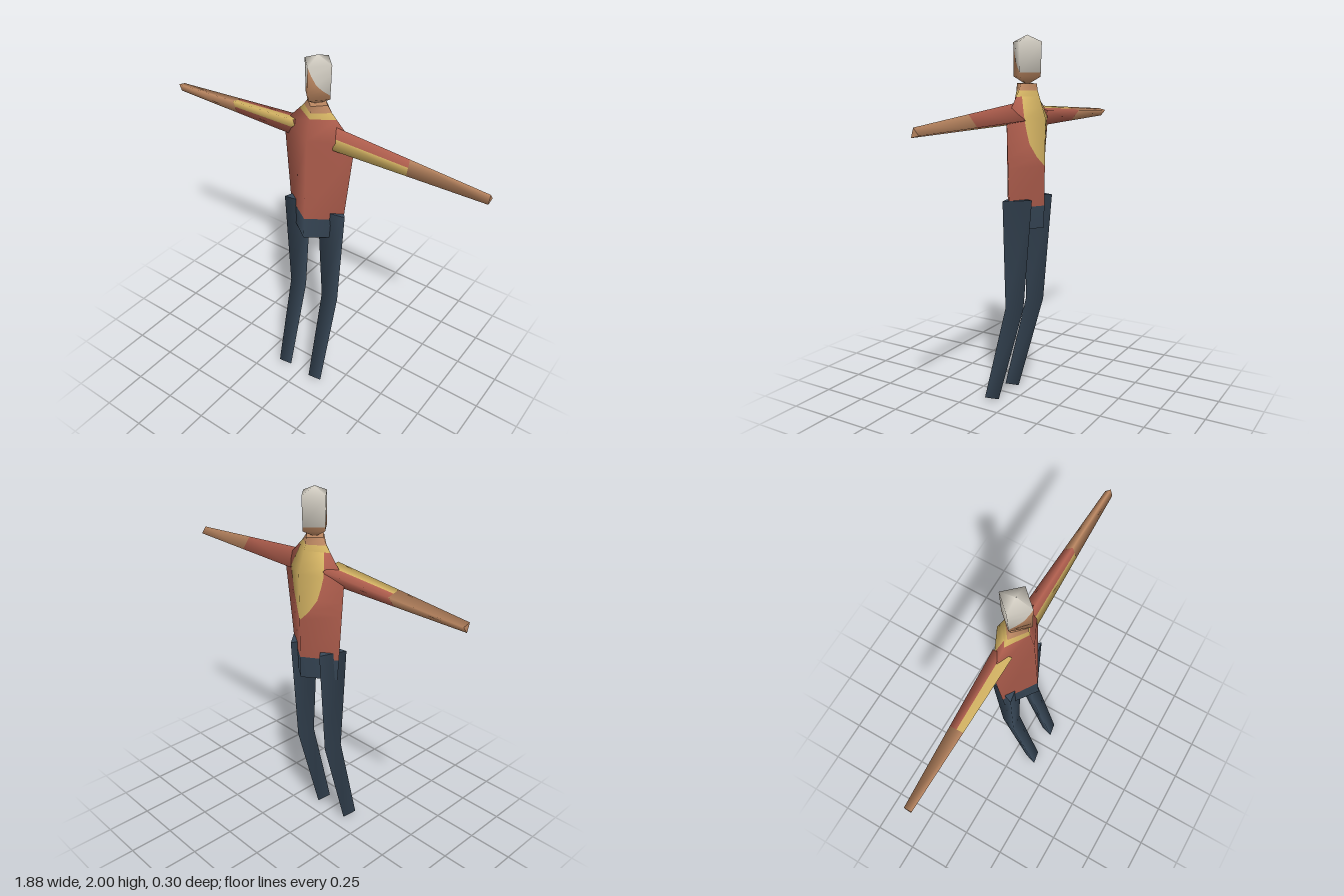
import * as THREE from 'three';
import { mergeGeometries } from 'three/addons/utils/BufferGeometryUtils.js';

const V = (x, y, z) => new THREE.Vector3(x, y, z);
const paint = (name, color) => {
  const m = new THREE.MeshStandardMaterial({ color });
  m.name = name;
  return m;
};

// A body is a list of rings { k, p }: k is the position along it, p its corners.
// Smooth corner normals are stored beside the corners.
function loft(rings) {
  rings.forEach((ring, i) => {
    const lo = rings[Math.max(i - 1, 0)].p, hi = rings[Math.min(i + 1, rings.length - 1)].p;
    const n = ring.p.length;
    ring.n = ring.p.map((_, j) => {
      const around = ring.p[(j + 1) % n].clone().sub(ring.p[(j + n - 1) % n]);
      return around.cross(hi[j].clone().sub(lo[j])).normalize();
    });
  });
  return rings;
}

// Point or normal at position k along the body and u (in corners) around it
function sample(rings, key, k, face, t) {
  let i = 0;
  while (i < rings.length - 2 && k > rings[i + 1].k) i++;
  const a = rings[i], b = rings[i + 1], f = (k - a.k) / (b.k - a.k), n = a.p.length;
  const at = j => a[key][j % n].clone().lerp(b[key][j % n], f);
  return at(face).lerp(at(face + 1), t);
}

// Strip of one face, with rows [k, from, to]; from and to run 0..1 across the face
function strip(rings, face, rows) {
  const pos = [], nor = [], index = [];
  rows.forEach(([k, from, to], i) => {
    for (const t of [from, to]) {
      pos.push(...sample(rings, 'p', k, face, t).toArray());
      nor.push(...sample(rings, 'n', k, face, t).normalize().toArray());
    }
    const a = 2 * i;
    if (i < rows.length - 1) index.push(a, a + 1, a + 3, a, a + 3, a + 2);
  });
  const g = new THREE.BufferGeometry();
  g.setAttribute('position', new THREE.Float32BufferAttribute(pos, 3));
  g.setAttribute('normal', new THREE.Float32BufferAttribute(nor, 3));
  g.setIndex(index);
  return g;
}

// Full-width strips on the given faces
const bands = (rings, faces, ks) => faces.map(f => strip(rings, f, ks.map(k => [k, 0, 1])));

// Flat end cap
function cap(points, up) {
  const p = up ? points : [...points].reverse(), index = [];
  for (let i = 1; i < p.length - 1; i++) index.push(0, i, i + 1);
  const g = new THREE.BufferGeometry().setFromPoints(p);
  g.setIndex(index);
  g.computeVertexNormals();
  return g;
}

// Diamond ring: front, left, back, right
const diamond = (y, hx, front, back) => {
  const mid = (front + back) / 2;
  return { k: y, p: [V(0, y, front), V(hx, y, mid), V(0, y, back), V(-hx, y, mid)] };
};

export function createModel() {
  const model = new THREE.Group();
  const red = paint('red shirt', 0xb3604f), yellow = paint('yellow trim', 0xd6b564);
  const skin = paint('skin', 0xbd8862), navy = paint('navy trousers', 0x394959);
  const white = paint('white hair', 0xd6d1c6);
  const add = (parent, name, material, parts) => {
    const mesh = new THREE.Mesh(mergeGeometries(parts), material);
    mesh.name = name;
    parent.add(mesh);
  };
  const section = name => {
    const g = new THREE.Group();
    g.name = name;
    model.add(g);
    return g;
  };
  const all = [0, 1, 2, 3];
  // Same strip on a left face and, mirrored, on the matching right face
  const pair = (rings, left, right, rows) => [
    strip(rings, left, rows),
    strip(rings, right, rows.map(([k, a, b]) => [k, 1 - b, 1 - a])),
  ];

  // Torso with hips, shirt, collar, back panel and neck
  const body = section('torso');
  const trunk = loft([
    diamond(1.0, 0.16, 0.085, -0.148), diamond(1.58, 0.217, 0.053, -0.152),
    diamond(1.72, 0.085, 0.022, -0.105), diamond(1.755, 0.06, 0.02, -0.1),
  ]);
  const panel = [[1.33, 0], [1.38, 0.22], [1.45, 0.42], [1.52, 0.5], [1.58, 0.55], [1.63, 0.62], [1.69, 0.75]];
  add(body, 'hips', navy, [...bands(trunk, all, [1.0, 1.12]), cap(trunk[0].p, false)]);
  add(body, 'shirt', red, [
    ...bands(trunk, [0, 3], [1.12, 1.58, 1.69]),
    ...pair(trunk, 1, 2, [[1.12, 0, 1], ...panel.map(([k, t]) => [k, 0, 1 - t])]),
  ]);
  add(body, 'backPanel', yellow, pair(trunk, 1, 2, panel.map(([k, t]) => [k, 1 - t, 1])));
  add(body, 'collar', yellow, bands(trunk, all, [1.69, 1.72]));
  add(body, 'neck', skin, [...bands(trunk, all, [1.72, 1.755]), cap(trunk[3].p, true)]);

  // Head with a pointed face opening in the hair
  const head = section('head');
  const skull = loft([
    diamond(1.75, 0.006, -0.035, -0.047), diamond(1.79, 0.073, 0.04, -0.122),
    diamond(1.965, 0.08, 0.042, -0.128), diamond(2.0, 0.001, -0.041, -0.043),
  ]);
  const face = [[1.81, 1], [1.825, 0.8], [1.84, 0.62], [1.87, 0.36], [1.92, 0.14], [1.965, 0]];
  add(head, 'face', skin, [
    ...bands(skull, all, [1.75, 1.79, 1.81]),
    ...pair(skull, 0, 3, face.map(([k, t]) => [k, 0, t])),
  ]);
  add(head, 'hair', white, [
    ...bands(skull, [1, 2], [1.81, 1.965]),
    ...bands(skull, all, [1.965, 2.0]),
    ...pair(skull, 0, 3, face.map(([k, t]) => [k, t, 1])),
  ]);

  // Arms: three-sided tapers, one being the other turned half round
  for (const s of [1, -1]) {
    const arm = section(s > 0 ? 'leftArm' : 'rightArm');
    const ring = (x, y, size) => ({
      k: x,
      p: [[0.066, 0.01], [-0.046, 0.045], [-0.02, -0.06]].map(
        ([dy, dz]) => V(s * x, y + s * dy * size, -0.042 + dz * size)),
    });
    const tube = loft([ring(0.12, 1.591, 1), ring(0.94, 1.565, 0.4)]);
    const rows = (a, b) => [[0.12, a, b], [0.53, a, b]];
    add(arm, 'sleeve', red, [
      strip(tube, 0, rows(0, 0.5)), strip(tube, 1, rows(0.5, 1)), strip(tube, 2, rows(0, 1)),
      cap(tube[0].p, false),
    ]);
    add(arm, 'sleeveStripe', yellow, [strip(tube, 0, rows(0.5, 1)), strip(tube, 1, rows(0, 0.5))]);
    add(arm, 'forearm', skin, [...bands(tube, [0, 1, 2], [0.53, 0.94]), cap(tube[1].p, true)]);
  }

  // Legs: three-sided tapers bent at the knee, both turned the same way
  for (const [name, x] of [['leftLeg', 0.113], ['rightLeg', -0.107]]) {
    const ring = (y, z, r, tilt) => ({
      k: y,
      p: [[-0.766, 0.643], [0.94, 0.342], [-0.174, -0.985]].map(
        ([dx, dz]) => V(x + dx * r, y + dz * r * tilt, z + dz * r)),
    });
    const tube = loft([ring(0.013, 0.123, 0.045, 0.29), ring(0.57, -0.026, 0.056, 0.14), ring(1.16, -0.041, 0.089, 0)]);
    add(section(name), name + 'Trouser', navy, [
      ...bands(tube, [0, 1, 2], [0.013, 0.57, 1.16]), cap(tube[0].p, false), cap(tube[2].p, true),
    ]);
  }
  return model;
}
